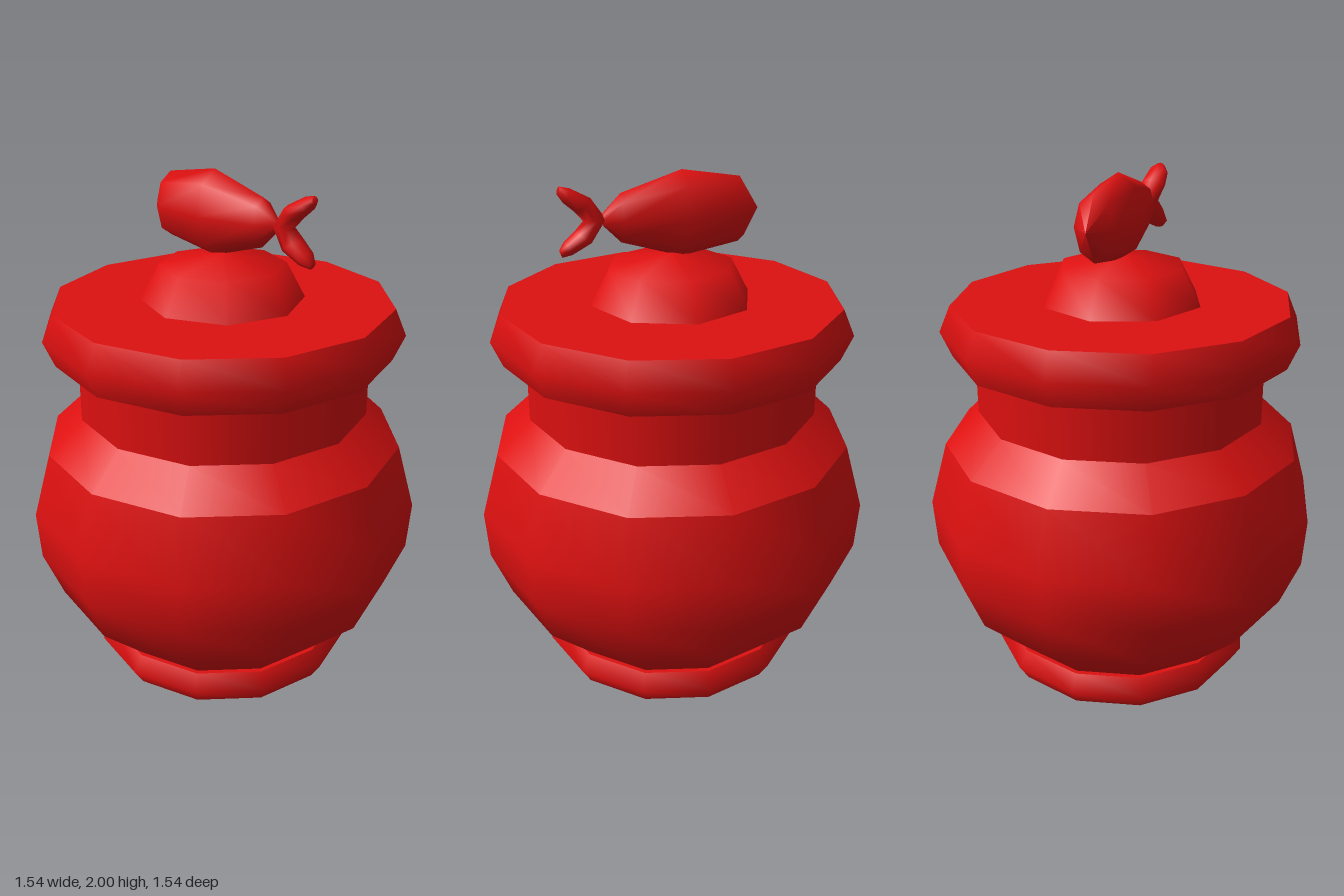
import * as THREE from 'three';
import { mergeGeometries } from 'three/addons/utils/BufferGeometryUtils.js';

const material = new THREE.MeshStandardMaterial({ color: 0xdd1010 });

// Lathe made of bands: smooth within each band, sharp between bands.
function turned(sides, ...bands) {
  return mergeGeometries(bands.map((band) =>
    new THREE.LatheGeometry(band.map(([r, y]) => new THREE.Vector2(r, y)), sides)));
}

// Forked tail: elliptical sections swept from the lower tip to the upper tip.
function tailGeometry() {
  const ring = 8;
  // [outer x, outer y, inner x, inner y, half thickness], y measured from the fish axis
  const half = [
    [0.30, 0.08, 0.36, 0.035, 0.05],
    [0.375, 0.12, 0.40, 0.07, 0.04],
    [0.41, 0.128, 0.42, 0.10, 0.018],
  ];
  const lower = half.map(([ox, oy, ix, iy, w]) => [ox, -oy, ix, -iy, w]).reverse();
  const sections = [...lower, [0.245, 0, 0.33, 0, 0.035], ...half];
  const positions = [], index = [];
  for (const [ox, oy, ix, iy, w] of sections) {
    for (let k = 0; k < ring; k++) {
      const a = (k / ring) * Math.PI * 2, c = Math.cos(a) / 2;
      positions.push((ox + ix) / 2 + (ox - ix) * c, (oy + iy) / 2 + (oy - iy) * c, w * Math.sin(a));
    }
  }
  for (let s = 0; s < sections.length - 1; s++) {
    for (let k = 0; k < ring; k++) {
      const a = s * ring + k, b = s * ring + (k + 1) % ring;
      index.push(a, b, b + ring, a, b + ring, a + ring);
    }
  }
  const top = (sections.length - 1) * ring;
  for (let k = 1; k < ring - 1; k++) {
    index.push(0, k + 1, k, top, top + k, top + k + 1);
  }
  const geometry = new THREE.BufferGeometry();
  geometry.setAttribute('position', new THREE.Float32BufferAttribute(positions, 3));
  geometry.setIndex(index);
  geometry.computeVertexNormals();
  return geometry;
}

export function createModel() {
  const model = new THREE.Group();
  const add = (name, geometry, parent = model) => {
    const mesh = new THREE.Mesh(geometry, material);
    mesh.name = name;
    parent.add(mesh);
    return mesh;
  };

  // Bevelled foot ring
  add('foot', turned(12,
    [[0, 0], [0.49, 0]],
    [[0.49, 0], [0.53, 0.065], [0.49, 0.13]],
    [[0.49, 0.13], [0, 0.13]]));

  // Round belly, sloping shoulder and straight neck
  add('body', turned(12,
    [[0, 0.137], [0.48, 0.137]],
    [[0.48, 0.137], [0.68, 0.33], [0.757, 0.52], [0.77, 0.71], [0.70, 0.96]],
    [[0.70, 0.96], [0.565, 1.09]],
    [[0.565, 1.09], [0.565, 1.32]]));

  // Lid with bevelled rim
  add('lid', turned(12,
    [[0, 1.32], [0.65, 1.32]],
    [[0.65, 1.32], [0.693, 1.42], [0.65, 1.52]],
    [[0.65, 1.52], [0, 1.52]]));

  // Domed mound under the fish
  add('lidDome', turned(8, [[0.312, 1.52], [0.24, 1.655], [0, 1.70]]));

  // Fish handle: flattened body and forked tail
  const fish = new THREE.Group();
  fish.name = 'fishHandle';
  fish.position.y = 1.84;
  model.add(fish);
  const body = turned(8, [[0, -0.34], [0.122, -0.265], [0.16, -0.04], [0.09, 0.19], [0.025, 0.255], [0, 0.265]]);
  body.rotateZ(-Math.PI / 2).scale(1, 1, 0.63);
  add('fishBody', body, fish);
  add('fishTail', tailGeometry(), fish);

  return model;
}
